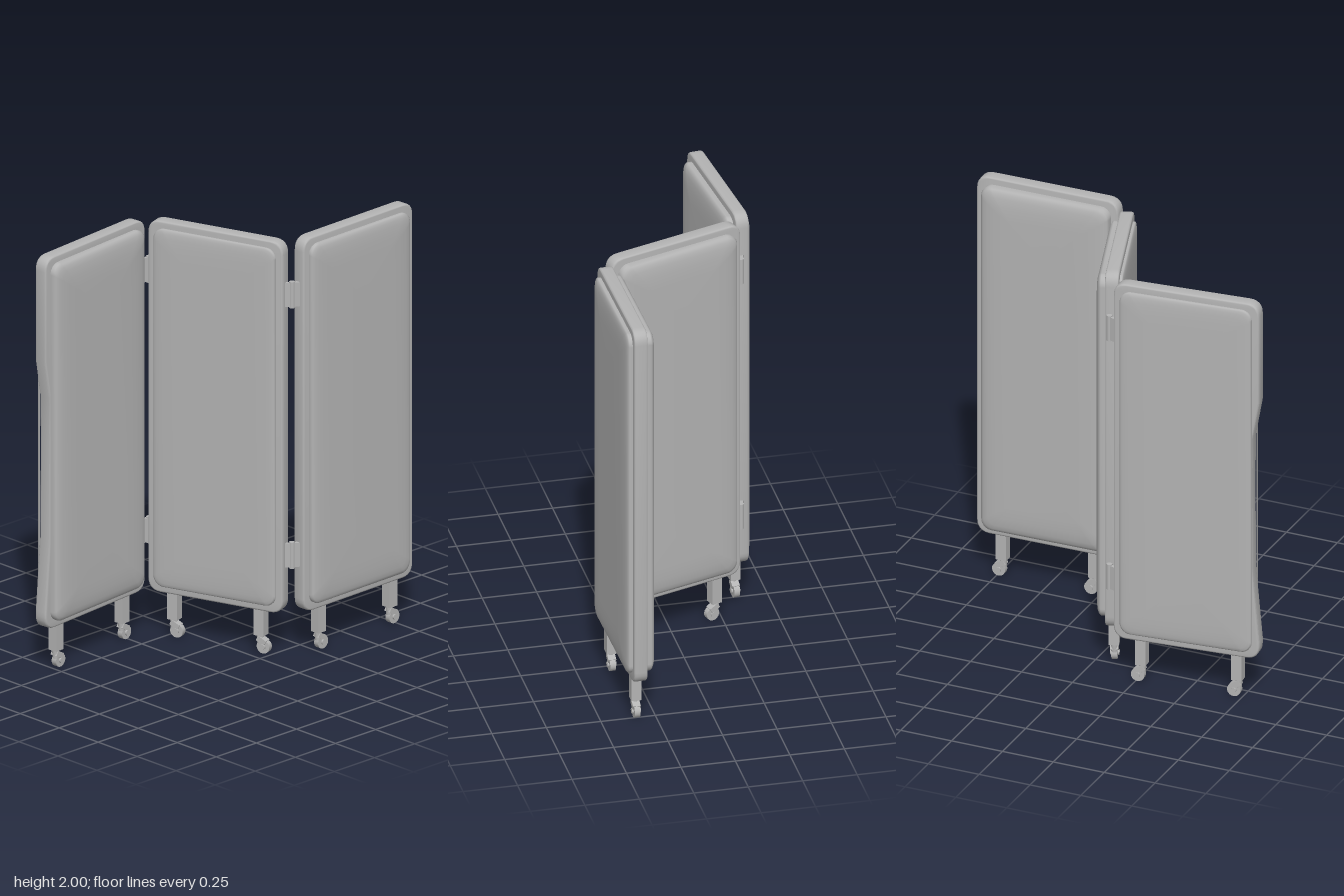
import * as THREE from 'three';
import { toCreasedNormals } from 'three/addons/utils/BufferGeometryUtils.js';

const grey = new THREE.MeshStandardMaterial({ color: 0xb4b4b4 });
grey.name = 'grey';

const BOTTOM = 0.215;
const FRAME_T = 0.062;

function add(parent, name, geometry, x = 0, y = 0, z = 0) {
  const mesh = new THREE.Mesh(geometry, grey);
  mesh.name = name;
  mesh.position.set(x, y, z);
  parent.add(mesh);
  return mesh;
}

// Rounded rectangle; the left edge may be pinched inwards between two heights
function outline(w, y0, y1, r, pinch = 0) {
  const s = new THREE.Shape();
  const h = w / 2;
  s.moveTo(-h + r, y0);
  s.lineTo(h - r, y0);
  s.quadraticCurveTo(h, y0, h, y0 + r);
  s.lineTo(h, y1 - r);
  s.quadraticCurveTo(h, y1, h - r, y1);
  s.lineTo(-h + r, y1);
  s.quadraticCurveTo(-h, y1, -h, y1 - r);
  if (pinch) {
    s.lineTo(-h, 1.5);
    s.lineTo(-h + pinch * 0.9, 1.32);
    s.lineTo(-h + pinch, 1.1);
    s.lineTo(-h + pinch * 0.9, 0.65);
    s.lineTo(-h, 0.3);
  }
  s.lineTo(-h, y0 + r);
  s.quadraticCurveTo(-h, y0, -h + r, y0);
  return s;
}

function frameGeometry(w, top, pinch) {
  const b = 0.008;
  const g = new THREE.ExtrudeGeometry(outline(w - 2 * b, BOTTOM + b, top - b, 0.055, pinch), {
    depth: FRAME_T - 2 * b, bevelEnabled: true, bevelThickness: b, bevelSize: b,
    bevelSegments: 3, curveSegments: 6,
  });
  g.translate(0, 0, -FRAME_T / 2 + b);
  return toCreasedNormals(g, 0.7);
}

// Soft cushion: stacked rounded-rectangle loops that shrink as they rise
function cushionGeometry(w, h, bulge) {
  const rings = [[0, -0.01], [0, 0.45], [0.006, 0.62], [0.018, 0.76], [0.04, 0.87], [0.08, 0.96], [0.14, 1], [0.28, 1]];
  const steps = 8;
  const n = steps * 4;
  const pos = [];
  const index = [];
  rings.forEach(([inset, level]) => {
    const r = Math.max(0.05 - inset * 0.3, 0.008);
    const cx = Math.max(w / 2 - inset - r, 0.001);
    const cy = h / 2 - inset - r;
    for (let q = 0; q < 4; q++) {
      for (let i = 0; i < steps; i++) {
        const a = (q + i / (steps - 1)) * Math.PI / 2;
        const sx = q === 0 || q === 3 ? 1 : -1;
        const sy = q < 2 ? 1 : -1;
        pos.push(sx * cx + Math.cos(a) * r, sy * cy + Math.sin(a) * r, level * bulge);
      }
    }
  });
  for (let k = 0; k < rings.length - 1; k++) {
    for (let i = 0; i < n; i++) {
      const a = k * n + i, b = k * n + (i + 1) % n;
      index.push(a, b, b + n, a, b + n, a + n);
    }
  }
  const last = (rings.length - 1) * n;
  const centre = pos.length / 3;
  pos.push(0, 0, bulge);
  for (let i = 0; i < n; i++) index.push(last + i, last + (i + 1) % n, centre);
  const g = new THREE.BufferGeometry();
  g.setAttribute('position', new THREE.Float32BufferAttribute(pos, 3));
  g.setIndex(index);
  g.computeVertexNormals();
  return g;
}

// Square leg, swivel neck and small wheel
function makeLeg(x) {
  const leg = new THREE.Group();
  leg.name = 'leg';
  leg.position.x = x;
  add(leg, 'legPost', new THREE.BoxGeometry(0.05, 0.15, 0.046), 0, 0.165, 0);
  add(leg, 'swivelNeck', new THREE.CylinderGeometry(0.017, 0.014, 0.05, 12), -0.004, 0.075, 0);
  const fork = add(leg, 'casterFork', new THREE.BoxGeometry(0.045, 0.025, 0.036), 0.008, 0.066, 0);
  fork.rotation.z = -0.5;
  const wheel = add(leg, 'casterWheel', new THREE.CylinderGeometry(0.032, 0.032, 0.026, 18), 0.016, 0.037, 0);
  wheel.rotation.x = Math.PI / 2;
  const hub = add(leg, 'wheelHub', new THREE.CylinderGeometry(0.013, 0.013, 0.042, 12), 0.016, 0.037, 0);
  hub.rotation.x = Math.PI / 2;
  return leg;
}

// Panel running from one floor point to another, cushioned on both faces
function makePanel({ name, from, to, top, front, back, legs, pinch }) {
  const panel = new THREE.Group();
  panel.name = name;
  const dx = to[0] - from[0], dz = to[1] - from[1];
  const w = Math.hypot(dx, dz);
  panel.position.set((from[0] + to[0]) / 2, 0, (from[1] + to[1]) / 2);
  panel.rotation.y = Math.atan2(-dz, dx);
  add(panel, 'frame', frameGeometry(w, top, pinch));
  const cw = w - 0.066, ch = top - BOTTOM - 0.066, cy = (top + BOTTOM) / 2;
  add(panel, 'frontCushion', cushionGeometry(cw, ch, front), 0, cy, FRAME_T / 2);
  add(panel, 'backCushion', cushionGeometry(cw, ch, back), 0, cy, -FRAME_T / 2).rotation.y = Math.PI;
  legs.forEach((x) => panel.add(makeLeg(x)));
  return panel;
}

// Two leaves meeting at an upright pin
function makeHinge(a, pin, b, y) {
  const hinge = new THREE.Group();
  hinge.name = 'hinge';
  hinge.position.y = y;
  [a, b].forEach((p) => {
    const dx = p[0] - pin[0], dz = p[1] - pin[1];
    const leaf = add(hinge, 'hingeLeaf', new THREE.BoxGeometry(Math.hypot(dx, dz), 0.115, 0.016),
      (p[0] + pin[0]) / 2, 0, (p[1] + pin[1]) / 2);
    leaf.rotation.y = Math.atan2(-dz, dx);
  });
  add(hinge, 'hingePin', new THREE.CylinderGeometry(0.013, 0.013, 0.125, 12), pin[0], 0, pin[1]);
  return hinge;
}

export function createModel() {
  const model = new THREE.Group();
  model.name = 'foldingScreen';

  [
    { name: 'leftPanel', from: [0.345, -0.15], to: [0.335, -0.84], top: 2, front: 0.032, back: 0.052, legs: [-0.22, 0.23] },
    { name: 'middlePanel', from: [-0.33, 0.115], to: [0.312, -0.1], top: 1.99, front: 0.022, back: 0.05, legs: [-0.22, 0.215] },
    { name: 'rightPanel', from: [-0.298, 0.835], to: [-0.364, 0.15], top: 1.99, front: 0.045, back: 0.022, legs: [-0.235, 0.22], pinch: 0.035 },
  ].forEach((p) => model.add(makePanel(p)));

  // Upper and lower hinges on both joints
  [0.49, 1.735].forEach((y) => {
    model.add(makeHinge([0.295, -0.085], [0.33, -0.122], [0.35, -0.165], y));
    model.add(makeHinge([-0.315, 0.1], [-0.347, 0.112], [-0.362, 0.165], y));
  });
  return model;
}
